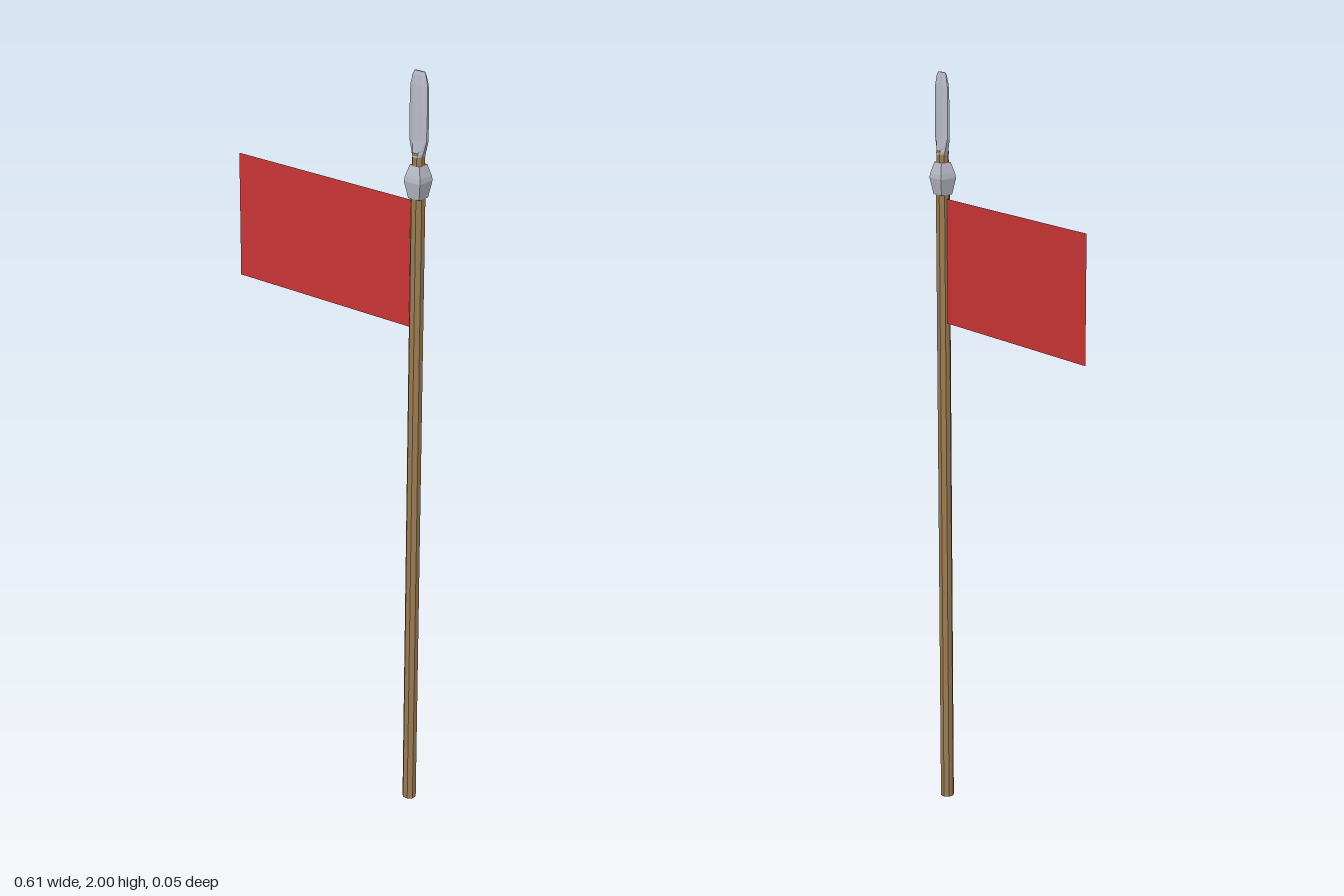
import * as THREE from 'three';

const POLE_X = 0.277;

// Cross-sections in unit half-widths, running anticlockwise seen from above
const SQUARE = [[1, 1], [1, -1], [-1, -1], [-1, 1]];
const chamfered = (cx, cz) => [
  [1, cz], [1, -cz], [cx, -1], [-cx, -1], [-1, -cz], [-1, cz], [-cx, 1], [cx, 1],
];
const OCTAGON = chamfered(0.414, 0.414);
const BLADE = chamfered(0.5, 0.4);

// Capped faceted loft through rings of [y, halfX, halfZ]
function loft(section, rings) {
  const n = section.length;
  const pos = [];
  const point = (r, i) => {
    const [y, hx, hz] = rings[r];
    const [sx, sz] = section[i % n];
    return [sx * hx, y, sz * hz];
  };
  const tri = (a, b, c) => pos.push(...a, ...b, ...c);
  for (let r = 0; r < rings.length - 1; r++) {
    for (let i = 0; i < n; i++) {
      const a = point(r, i), b = point(r, i + 1);
      const c = point(r + 1, i + 1), d = point(r + 1, i);
      tri(a, b, c);
      tri(a, c, d);
    }
  }
  const last = rings.length - 1;
  for (let i = 1; i < n - 1; i++) {
    tri(point(0, 0), point(0, i + 1), point(0, i));
    tri(point(last, 0), point(last, i), point(last, i + 1));
  }
  const geo = new THREE.BufferGeometry();
  geo.setAttribute('position', new THREE.Float32BufferAttribute(pos, 3));
  geo.computeVertexNormals();
  return geo;
}

export function createModel() {
  const wood = new THREE.MeshStandardMaterial({ color: 0x9c7c53 });
  wood.name = 'wood';
  const metal = new THREE.MeshStandardMaterial({ color: 0xb9bcc8 });
  metal.name = 'metal';
  const cloth = new THREE.MeshStandardMaterial({ color: 0xcc3535, side: THREE.DoubleSide });
  cloth.name = 'red cloth';

  const model = new THREE.Group();
  model.name = 'bannerSpear';
  const add = (name, geometry, material, x = POLE_X, y = 0) => {
    const mesh = new THREE.Mesh(geometry, material);
    mesh.name = name;
    mesh.position.set(x, y, 0);
    model.add(mesh);
  };

  // Shaft, running up through the collar to the blade
  add('pole', loft(OCTAGON, [[0, 0.017, 0.017], [1.7, 0.017, 0.017], [1.8, 0.0145, 0.0145]]), wood);

  // Square collar below the blade
  add('collar', loft(SQUARE, [
    [1.685, 0.017, 0.017], [1.728, 0.0245, 0.0245], [1.74, 0.023, 0.023], [1.769, 0.015, 0.015],
  ]), metal);

  // Flat blade with a blunt tip
  add('blade', loft(BLADE, [
    [1.79, 0.015, 0.0155], [1.803, 0.019, 0.012], [1.83, 0.026, 0.0095],
    [1.9, 0.027, 0.0085], [1.965, 0.026, 0.0065], [1.99, 0.02, 0.004], [2.0, 0.015, 0.002],
  ]), metal);

  // Flag, a single sheet of cloth
  add('flag', new THREE.PlaneGeometry(0.569, 0.33), cloth, -0.0195, 1.51);

  return model;
}
